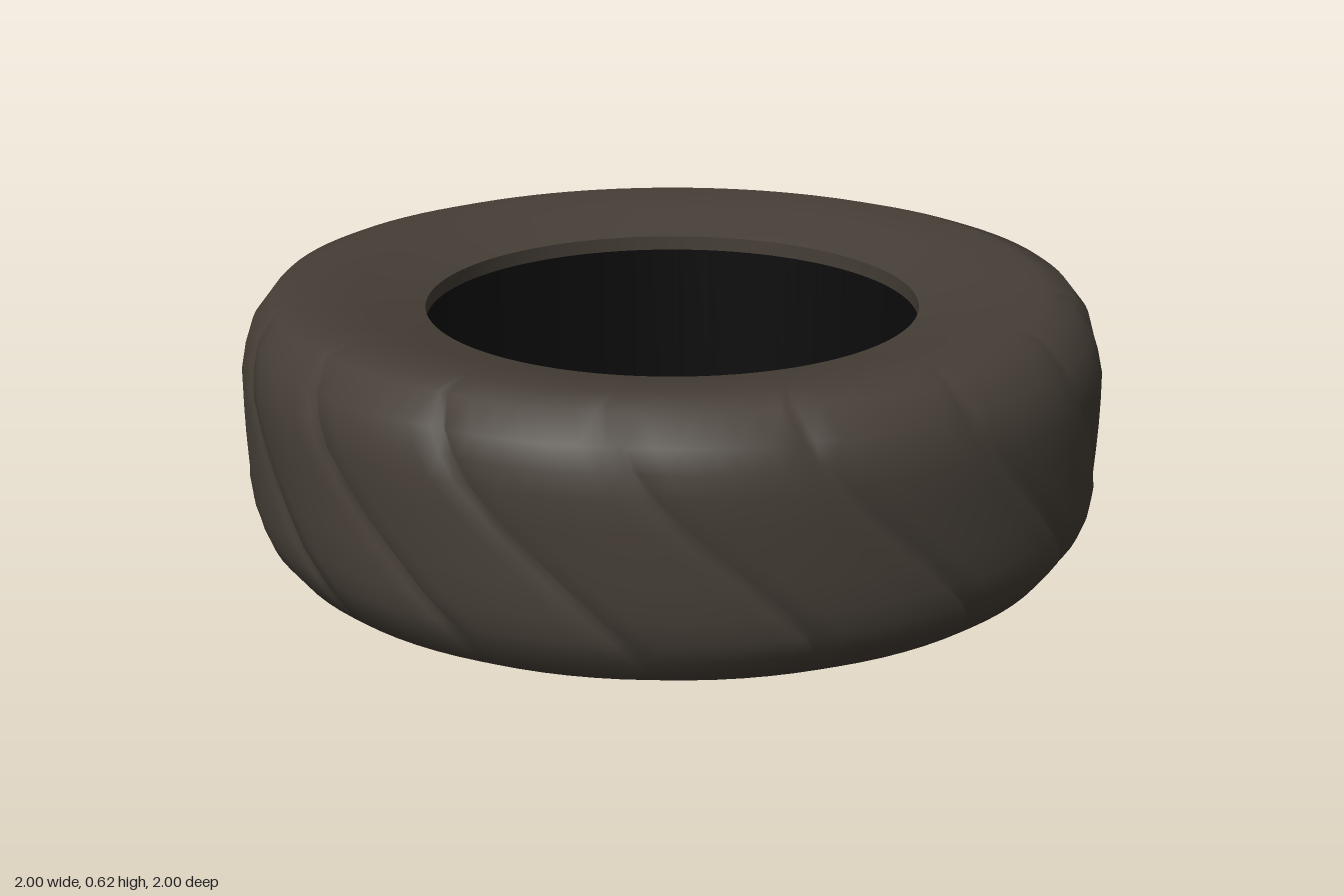
import * as THREE from 'three';

const LUGS = 16;
const DEG = Math.PI / 180;

// Tyre skin rows, bottom bead to top bead: [radius, y, groove angle in degrees, groove depth, swell]
const SKIN = [
  [0.575, 0.06, 13, 0, 0],
  [0.72, 0.022, 13, 0, 0],
  [0.855, 0, 13, 0, 0],
  [0.925, 0.02, 13, 0, 0.3],
  [0.973, 0.08, 11.5, 0.016, 0.8],
  [0.99, 0.125, 9.2, 0.018, 1],
  [1.0, 0.18, 5.8, 0.015, 1],
  [1.0, 0.25, 1.5, 0.01, 1],
  [1.0, 0.31, -2.3, 0.007, 1],
  [1.0, 0.37, -6, 0.01, 1],
  [1.0, 0.44, -10, 0.015, 1],
  [0.99, 0.49, -12.2, 0.018, 1],
  [0.973, 0.54, -14, 0.016, 0.8],
  [0.925, 0.6, -15.5, 0, 0.3],
  [0.855, 0.62, -15.5, 0, 0],
  [0.72, 0.598, -15.5, 0, 0],
  [0.575, 0.56, -15.5, 0, 0],
];

// Positions across one lug; the first column is the bottom of the groove
const COLUMNS = [0, 0.05, 0.2, 0.35, 0.5, 0.65, 0.8, 0.95];

// Closed skin with slanting tread grooves and gently crowned lugs
function skinGeometry() {
  const positions = [];
  const indices = [];
  const n = LUGS * COLUMNS.length;
  for (const [radius, y, twist, depth, swell] of SKIN) {
    for (let j = 0; j < n; j++) {
      const u = COLUMNS[j % COLUMNS.length];
      const lug = Math.floor(j / COLUMNS.length);
      const angle = ((lug + u) * 360 / LUGS + twist) * DEG;
      const crown = 0.008 * swell * (1 - Math.sin(u * Math.PI));
      const r = radius - crown - (u === 0 ? depth : 0);
      positions.push(r * Math.sin(angle), y, r * Math.cos(angle));
    }
  }
  for (let i = 0; i < SKIN.length - 1; i++) {
    for (let j = 0; j < n; j++) {
      const k = (j + 1) % n;
      const a = i * n + j, b = i * n + k, c = b + n, d = a + n;
      indices.push(a, b, c, a, c, d);
    }
  }
  const geometry = new THREE.BufferGeometry();
  geometry.setAttribute('position', new THREE.Float32BufferAttribute(positions, 3));
  geometry.setIndex(indices);
  geometry.computeVertexNormals();
  return geometry;
}

export function createModel() {
  const model = new THREE.Group();
  model.name = 'tyre';

  const rubber = new THREE.MeshStandardMaterial({ color: 0x453e36 });
  rubber.name = 'brown rubber';
  const black = new THREE.MeshStandardMaterial({ color: 0x0b0b0b, side: THREE.DoubleSide });
  black.name = 'black liner';
  const innerRubber = rubber;
  innerRubber.side = THREE.DoubleSide;

  const add = (name, geometry, material) => {
    const mesh = new THREE.Mesh(geometry, material);
    mesh.name = name;
    model.add(mesh);
  };
  const band = (r1, y1, r2, y2) => new THREE.LatheGeometry(
    [new THREE.Vector2(r1, y1), new THREE.Vector2(r2, y2)], LUGS * COLUMNS.length);

  // Tread, shoulders and sidewalls
  add('treadAndSidewalls', skinGeometry(), rubber);

  // Bead lips around both openings
  add('upperBead', band(0.575, 0.56, 0.575, 0.525), innerRubber);
  add('lowerBead', band(0.575, 0.095, 0.575, 0.06), innerRubber);

  // Hollow inside: two sidewall linings and the black wall behind the tread
  add('upperLining', band(0.575, 0.525, 0.85, 0.53), innerRubber);
  add('innerWall', band(0.85, 0.53, 0.85, 0.09), black);
  add('lowerLining', band(0.85, 0.09, 0.575, 0.095), innerRubber);

  return model;
}
